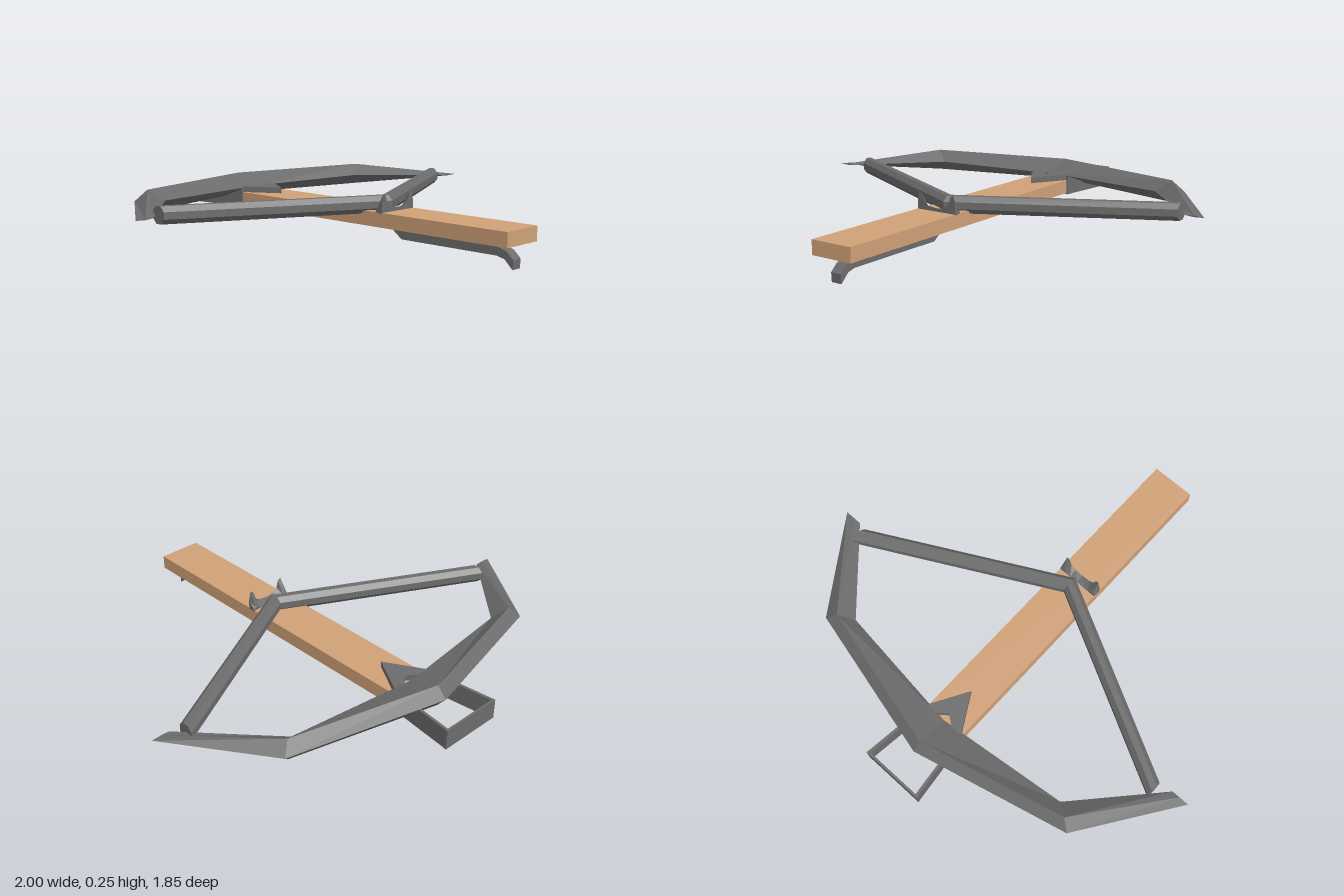
import * as THREE from 'three';

const wood = new THREE.MeshStandardMaterial({ name: 'wood', color: 0xd0a177 });
const iron = new THREE.MeshStandardMaterial({ name: 'iron', color: 0x6c6c6c });

// Skin a list of equal closed rings and cap both ends, one flat normal per face.
function loft(rings) {
  const n = rings[0].length;
  const index = [];
  for (let r = 0; r < rings.length - 1; r++) {
    for (let i = 0; i < n; i++) {
      const a = r * n + i, b = r * n + (i + 1) % n;
      index.push(a, b, a + n, b, b + n, a + n);
    }
  }
  const last = (rings.length - 1) * n;
  for (let i = 1; i < n - 1; i++) {
    index.push(0, i + 1, i, last, last + i, last + i + 1);
  }
  const geo = new THREE.BufferGeometry();
  geo.setAttribute('position', new THREE.Float32BufferAttribute(rings.flat(2), 3));
  geo.setIndex(index);
  const flat = geo.toNonIndexed();
  flat.computeVertexNormals();
  return flat;
}

function extrude(points, depth) {
  const shape = new THREE.Shape(points.map(([x, y]) => new THREE.Vector2(x, y)));
  return new THREE.ExtrudeGeometry(shape, { depth, bevelEnabled: false });
}

export function createModel() {
  const group = new THREE.Group();
  const add = (name, geo, mat) => {
    const mesh = new THREE.Mesh(geo, mat);
    mesh.name = name;
    group.add(mesh);
    return mesh;
  };
  const midY = 0.185;

  // Wooden stock
  add('stock', new THREE.BoxGeometry(0.2, 0.063, 1.535), wood).position.set(0, 0.132, 0.158);

  // Bow: diamond sections given as outer, ridge and inner [x, z] plus half height
  const half = [
    { outer: [0, -0.793], ridge: [0, -0.75], inner: [0, -0.61], h: 0.05 },
    { outer: [0.705, -0.62], ridge: [0.66, -0.585], inner: [0.6, -0.54], h: 0.05 },
    { outer: [1, -0.197], ridge: [0.955, -0.197], inner: [0.918, -0.197], h: 0.003 },
  ];
  const bowRing = (s, side) => {
    const ring = [
      [side * s.outer[0], midY, s.outer[1]],
      [side * s.ridge[0], midY + s.h, s.ridge[1]],
      [side * s.inner[0], midY, s.inner[1]],
      [side * s.ridge[0], midY - s.h, s.ridge[1]],
    ];
    return ring;
  };
  add('bow', loft([
    bowRing(half[2], -1), bowRing(half[1], -1), bowRing(half[0], 1),
    bowRing(half[1], 1), bowRing(half[2], 1),
  ]), iron);

  // Thick eight-sided string, bent at the middle
  const stringRing = (x, z) => Array.from({ length: 8 }, (_, i) => {
    const a = (i + 0.5) * Math.PI / 4;
    return [x, midY + 0.04 * Math.sin(a), z - 0.04 * Math.cos(a)];
  });
  add('bowString', loft([
    stringRing(-0.855, -0.245), stringRing(0.01, 0.21), stringRing(0.875, -0.245),
  ]), iron);

  // String catch: U-shaped plate whose horns slope down toward the bow
  const catchGeo = extrude([
    [-0.1, 0.16], [0.1, 0.16], [0.1, 0.2], [0.09, 0.245], [0.075, 0.235], [0.065, 0.2],
    [0.04, 0.183], [0, 0.178], [-0.04, 0.183], [-0.065, 0.2], [-0.075, 0.235],
    [-0.09, 0.245], [-0.1, 0.2],
  ], 0.035);
  const p = catchGeo.attributes.position;
  for (let i = 0; i < p.count; i++) {
    if (p.getZ(i) < 0.01) p.setY(i, 0.16 + (p.getY(i) - 0.16) * 0.2);
  }
  catchGeo.computeVertexNormals();
  add('stringCatch', catchGeo, iron).position.z = 0.25;

  // Trigger lever under the stock, drawn in side profile [z, y]
  const lever = extrude([
    [0.9, 0], [0.902, 0.04], [0.87, 0.07], [0.825, 0.085], [0.345, 0.085],
    [0.315, 0.105], [0.28, 0.105], [0.285, 0.08], [0.33, 0.047], [0.825, 0.047], [0.86, 0.038],
  ], 0.05);
  lever.rotateY(-Math.PI / 2);
  add('triggerLever', lever, iron).position.x = 0.025;

  // V-shaped mount through the stock, drawn in plan [x, -z]
  const mount = extrude([
    [-0.1, 0.61], [0, 0.44], [0.1, 0.61], [0.045, 0.61], [0, 0.575], [-0.045, 0.61],
  ], 0.095);
  mount.rotateX(-Math.PI / 2);
  add('bowMount', mount, iron).position.y = 0.095;

  // Foot stirrup: two flared side plates and a cross plate
  for (const side of [-1, 1]) {
    const a = [side * 0.1, -0.6], b = [side * 0.138, -0.92];
    const length = Math.hypot(b[0] - a[0], b[1] - a[1]);
    const plate = add('stirrupSide', new THREE.BoxGeometry(0.012, 0.09, length), iron);
    plate.position.set((a[0] + b[0]) / 2, 0.14, (a[1] + b[1]) / 2);
    plate.rotation.y = Math.atan2(b[0] - a[0], b[1] - a[1]);
  }
  add('stirrupBar', new THREE.BoxGeometry(0.29, 0.09, 0.01), iron).position.set(0, 0.14, -0.922);

  return group;
}
